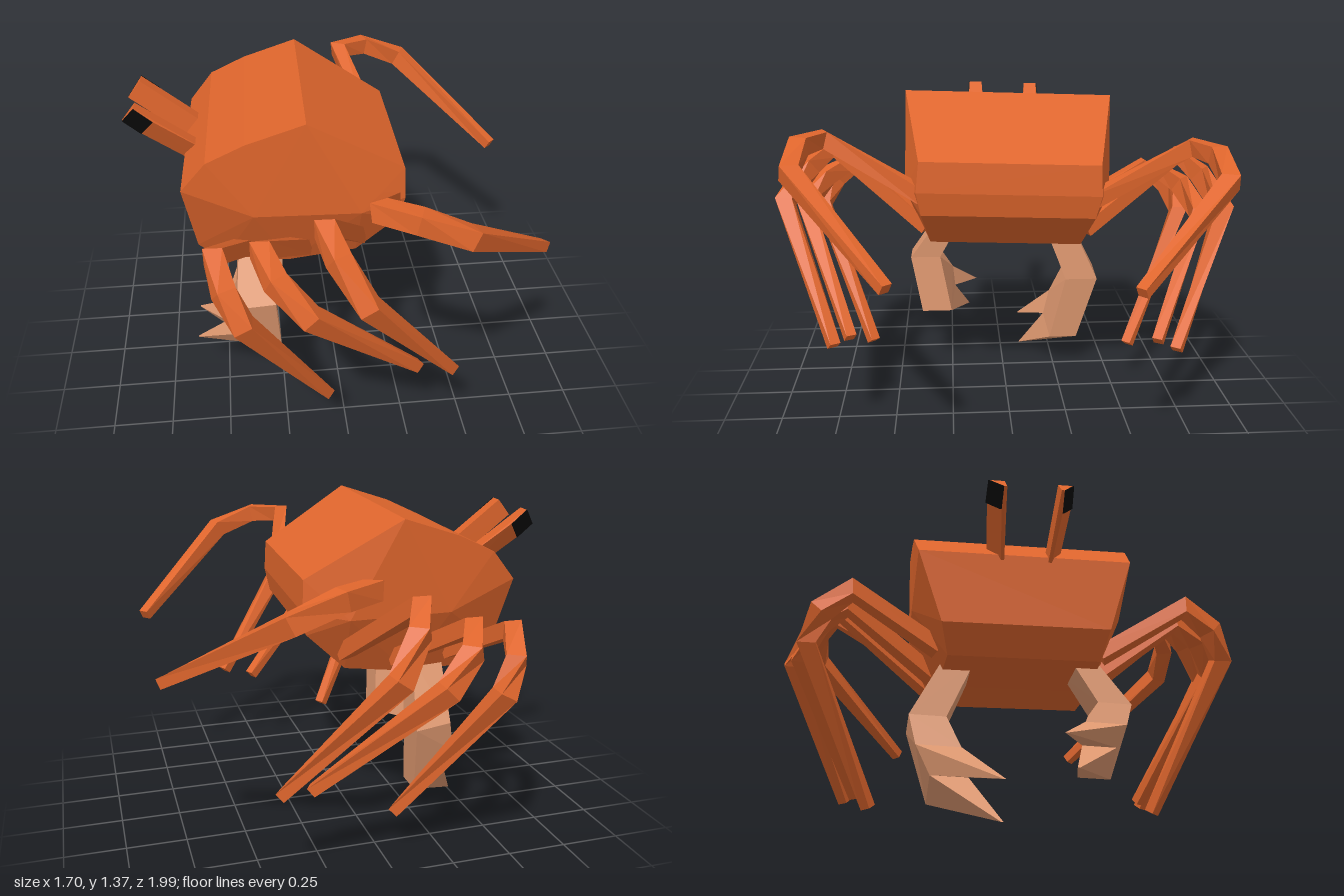
import * as THREE from 'three';
import { ConvexGeometry } from 'three/addons/geometries/ConvexGeometry.js';

const material = (name, color) => {
  const m = new THREE.MeshStandardMaterial({ color, flatShading: true });
  m.name = name;
  return m;
};

// Convex solid from outline points [x, y, z1, z2]
function hull(points) {
  return new ConvexGeometry(points.flatMap(([x, y, z1, z2]) => [
    new THREE.Vector3(x, y, z1), new THREE.Vector3(x, y, z2),
  ]));
}

// Square-section limb through points [x, y, z, halfWidth]
function limb(points) {
  const up = new THREE.Vector3(0, 1, 0);
  const centres = points.map((p) => new THREE.Vector3(p[0], p[1], p[2]));
  const pos = [], index = [];
  const last = points.length - 1;
  points.forEach((p, i) => {
    const t = new THREE.Vector3();
    if (i > 0) t.add(centres[i].clone().sub(centres[i - 1]).normalize());
    if (i < last) t.add(centres[i + 1].clone().sub(centres[i]).normalize());
    t.normalize();
    const u = up.clone().addScaledVector(t, -up.dot(t)).normalize();
    const v = t.clone().cross(u);
    for (const [a, b] of [[1, 1], [-1, 1], [-1, -1], [1, -1]]) {
      pos.push(...centres[i].clone().addScaledVector(u, a * p[3]).addScaledVector(v, b * p[3]).toArray());
    }
    if (i === last) return;
    for (let k = 0; k < 4; k++) {
      const a = i * 4 + k, b = i * 4 + (k + 1) % 4;
      index.push(a, b, b + 4, a, b + 4, a + 4);
    }
  });
  const e = last * 4;
  index.push(0, 2, 1, 0, 3, 2, e, e + 1, e + 2, e, e + 2, e + 3);
  const g = new THREE.BufferGeometry();
  g.setAttribute('position', new THREE.Float32BufferAttribute(pos, 3));
  g.setIndex(index);
  const flat = g.toNonIndexed();
  flat.computeVertexNormals();
  return flat;
}

export function createModel() {
  const shell = material('shell orange', 0xde652c);
  const clawTan = material('claw tan', 0xdd976f);
  const black = material('eye black', 0x0a0a0a);
  const root = new THREE.Group();
  root.name = 'crab';
  const add = (parent, name, geometry, mat) => {
    const mesh = new THREE.Mesh(geometry, mat);
    mesh.name = name;
    parent.add(mesh);
  };

  // Slightly tilted group holding the shell, eyes and legs
  const tilted = new THREE.Group();
  tilted.name = 'bodyAndLegs';
  tilted.rotation.set(-0.03, -0.022, 0);
  tilted.position.z = 0.0255;
  root.add(tilted);

  // Faceted shell: outline points with half width along z
  const outline = [
    [-0.13, 1.365, 0.45], [-0.36, 1.29, 0.45], [-0.51, 1.22, 0.45], [-0.61, 1.1, 0.435],
    [-0.57, 0.8, 0.34], [-0.48, 0.7, 0.31], [-0.2, 0.7, 0.33], [0.07, 0.735, 0.33],
    [0.24, 0.9, 0.365], [0.26, 1.0, 0.385], [0.255, 1.13, 0.375],
    [-0.34, 0.98, 0.448], [0.08, 0.97, 0.44],
  ];
  add(tilted, 'shell', hull(outline.map(([x, y, z]) => [x, y, z, -z])), shell);

  // Legs: base, three knee points and tip, mirrored on both sides
  const legs = [
    [[-0.38, 0.78, 0.34], [-0.49, 0.97, 0.69], [-0.455, 0.89, 0.81], [-0.39, 0.78, 0.865], [-0.07, 0.2, 0.6]],
    [[-0.14, 0.77, 0.34], [-0.32, 1.0, 0.71], [-0.27, 0.94, 0.83], [-0.15, 0.83, 0.905], [0.29, 0.37, 0.66]],
    [[0.08, 0.81, 0.34], [-0.09, 1.11, 0.76], [-0.05, 1.04, 0.86], [0.05, 0.9, 0.955], [0.42, 0.39, 0.71]],
    [[0.22, 0.97, 0.34], [0.1, 1.185, 0.78], [0.23, 1.18, 0.855], [0.41, 1.11, 0.865], [0.82, 0.79, 0.46]],
  ];
  const legWidth = [0.032, 0.036, 0.037, 0.037, 0.022];

  // Eye stalk stations [x, y, inner z, outer z]; the outer side slopes in below
  const stations = [
    [-0.5, 1.055, 0.085, 0.145], [-0.745, 1.235, 0.11, 0.172], [-0.815, 1.293, 0.108, 0.168],
  ];
  const rise = new THREE.Vector3(0.62, 0.78, 0).multiplyScalar(0.045);

  for (const s of [1, -1]) {
    const side = s > 0 ? 'Near' : 'Far';
    legs.forEach((path, i) => {
      const pts = path.map(([x, y, z], k) => [x, y, z * s, legWidth[k]]);
      add(tilted, `leg${side}${i + 1}`, limb(pts), shell);
    });

    // Wedge-shaped stalk with a thin black plate on its outer face
    const edge = (x, y, z, k) => new THREE.Vector3(x, y, z * s).addScaledVector(rise, k);
    const wedge = stations.flatMap(([x, y, zi, zo]) => [
      edge(x, y, zi, 1), edge(x, y, zo, 1), edge(x, y, zi, -1), edge(x, y, zi + 0.012, -1),
    ]);
    add(tilted, `eyeStalk${side}`, new ConvexGeometry(wedge), shell);
    const plate = stations.slice(1).flatMap(([x, y, zi, zo]) => [0, 0.006].flatMap((d) => [
      edge(x, y, zo + d, 1), edge(x, y, zi + 0.012 + d, -1),
    ]));
    add(tilted, `eye${side}`, new ConvexGeometry(plate), black);
  }

  // Claws: each corner is [x, y, inner z, outer z]
  const claws = {
    clawNear: {
      shoulder: [[-0.42, 0.74, 0.2, 0.31], [-0.27, 0.74, 0.2, 0.31]],
      elbow: [[-0.44, 0.55, 0.3, 0.44], [-0.28, 0.56, 0.3, 0.44]],
      wrist: [-0.46, 0.45, 0.24, 0.41],
      crotch: [-0.43, 0.36, 0.23, 0.37],
      knuckle: [-0.26, 0.29, 0.25, 0.39],
      upperTip: [-0.61, 0.33, 0.118, 0.126],
      lowerTip: [-0.63, 0.185, 0.156, 0.164],
    },
    clawFar: {
      shoulder: [[-0.35, 0.74, -0.19, -0.32], [-0.22, 0.74, -0.19, -0.32]],
      elbow: [[-0.35, 0.48, -0.3, -0.45], [-0.2, 0.46, -0.3, -0.45]],
      wrist: [-0.38, 0.34, -0.24, -0.42],
      crotch: [-0.37, 0.22, -0.21, -0.36],
      knuckle: [-0.23, 0.15, -0.23, -0.36],
      upperTip: [-0.51, 0.17, -0.086, -0.094],
      lowerTip: [-0.51, 0.003, -0.096, -0.104],
    },
  };
  for (const [name, c] of Object.entries(claws)) {
    const claw = new THREE.Group();
    claw.name = name;
    add(claw, 'arm', hull([...c.shoulder, ...c.elbow]), clawTan);
    add(claw, 'palm', hull([...c.elbow, c.wrist, c.crotch, c.knuckle]), clawTan);
    add(claw, 'upperFinger', hull([c.wrist, c.crotch, c.upperTip]), clawTan);
    add(claw, 'lowerFinger', hull([c.crotch, c.knuckle, c.lowerTip]), clawTan);
    root.add(claw);
  }
  return root;
}
